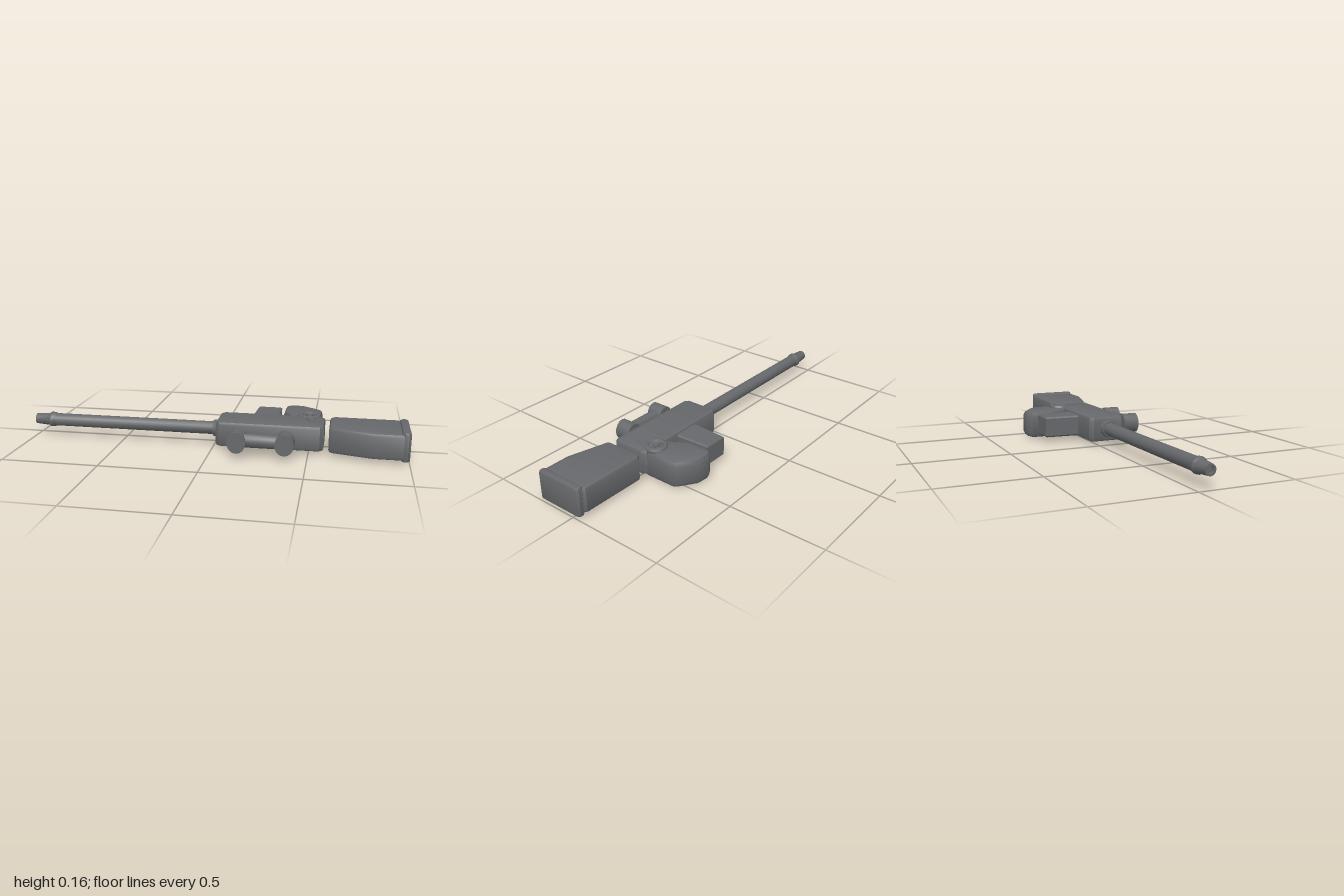
import * as THREE from 'three';
import { toCreasedNormals } from 'three/addons/utils/BufferGeometryUtils.js';

const metal = new THREE.MeshStandardMaterial({ color: 0x67686b });
metal.name = 'gunmetal grey';

export function createModel() {
  const model = new THREE.Group();

  const add = (name, geometry, x = 0, y = 0, z = 0, crease = 0.7) => {
    const mesh = new THREE.Mesh(toCreasedNormals(geometry, crease), metal);
    mesh.name = name;
    mesh.position.set(x, y, z);
    model.add(mesh);
    return mesh;
  };

  // Bevelled slab: outline in [x, z], thickness from y0 to y1
  const slab = (name, outline, y0, y1, bevel, segments = 2, bevelDepth = bevel) => {
    const shape = new THREE.Shape(outline.map(([x, z]) => new THREE.Vector2(x, -z)));
    const geometry = new THREE.ExtrudeGeometry(shape, {
      depth: y1 - y0 - 2 * bevelDepth,
      bevelThickness: bevelDepth, bevelSize: bevel, bevelOffset: -bevel, bevelSegments: segments,
    });
    geometry.translate(0, 0, bevelDepth).rotateX(-Math.PI / 2);
    return add(name, geometry, 0, y0, 0);
  };

  // Rectangle outline with cut corners
  const rect = (x0, x1, z0, z1, c) => [
    [x0 + c, z0], [x1 - c, z0], [x1, z0 + c], [x1, z1 - c],
    [x1 - c, z1], [x0 + c, z1], [x0, z1 - c], [x0, z0 + c],
  ];

  // Solid of revolution along x, from [radius, x] points
  const turned = (name, profile, sides, y, z) => {
    const geometry = new THREE.LatheGeometry(profile.map(([r, x]) => new THREE.Vector2(r, x)), sides);
    geometry.rotateZ(-Math.PI / 2);
    return add(name, geometry, 0, y, z);
  };

  // Receiver
  slab('receiver', rect(0.02, 0.577, -0.046, 0.158, 0.02), 0.02, 0.156, 0.018);

  // Barrel with collar and flared muzzle
  turned('barrel', [[0, -0.92], [0.035, -0.92], [0.035, 0.04], [0, 0.04]], 12, 0.091, 0.056);
  turned('barrelCollar', [[0, -0.005], [0.042, -0.005], [0.046, 0.005], [0.046, 0.04], [0, 0.04]], 12, 0.091, 0.056);
  turned('muzzle', [
    [0, -0.985], [0.018, -0.985], [0.018, -1], [0.028, -1], [0.034, -0.925],
    [0.041, -0.915], [0.041, -0.9], [0.035, -0.885], [0, -0.885],
  ], 12, 0.091, 0.056);

  // Stock, detached from the receiver, and its butt plate
  slab('stock', [
    [0.62, -0.053], [0.955, -0.05], [0.968, -0.035], [0.968, 0.222],
    [0.82, 0.222], [0.615, 0.168], [0.602, 0.155], [0.602, -0.035],
  ], 0.02, 0.157, 0.018);
  slab('buttPlate', rect(0.957, 1, -0.042, 0.218, 0.012), 0.012, 0.166, 0.012);

  // Magazine
  slab('magazine', [[0.2, -0.235], [0.33, -0.235], [0.336, -0.02], [0.186, -0.02]], 0.03, 0.142, 0.008, 1);

  // Hand grip with strong chamfers
  slab('grip', [
    [0.348, -0.265], [0.385, -0.287], [0.455, -0.282], [0.545, -0.22], [0.556, -0.2],
    [0.556, -0.03], [0.52, 0], [0.42, 0], [0.4, -0.055], [0.348, -0.14],
  ], 0.002, 0.15, 0.03, 2, 0.028);

  // Round selector with a hub, spokes and lever
  const ring = new THREE.TorusGeometry(0.046, 0.014, 8, 20).rotateX(Math.PI / 2);
  add('selectorRing', ring, 0.493, 0.151, -0.045);
  add('selectorHub', new THREE.CylinderGeometry(0.016, 0.02, 0.03, 12), 0.493, 0.149, -0.045);
  for (let i = 0; i < 3; i++) {
    const spoke = add('selectorSpoke', new THREE.BoxGeometry(0.1, 0.016, 0.012), 0.493, 0.148, -0.045);
    spoke.rotation.y = i * Math.PI / 3;
  }
  slab('selectorLever', [[0.475, 0], [0.525, 0], [0.52, 0.06], [0.505, 0.072], [0.49, 0.05]], 0.14, 0.163, 0.004, 1);

  // Sight: two drums joined by a bar, floating beside the receiver
  for (const x of [0.149, 0.389]) {
    const drum = new THREE.CylinderGeometry(0.055, 0.055, 0.086, 16).rotateX(Math.PI / 2).scale(0.87, 1, 1);
    add('sightDrum', drum, x, 0.087, 0.243);
  }
  const bar = new THREE.CylinderGeometry(0.03, 0.03, 0.2, 12).rotateZ(Math.PI / 2).scale(1, 1.2, 1);
  add('sightBar', bar, 0.269, 0.09, 0.243);

  return model;
}
